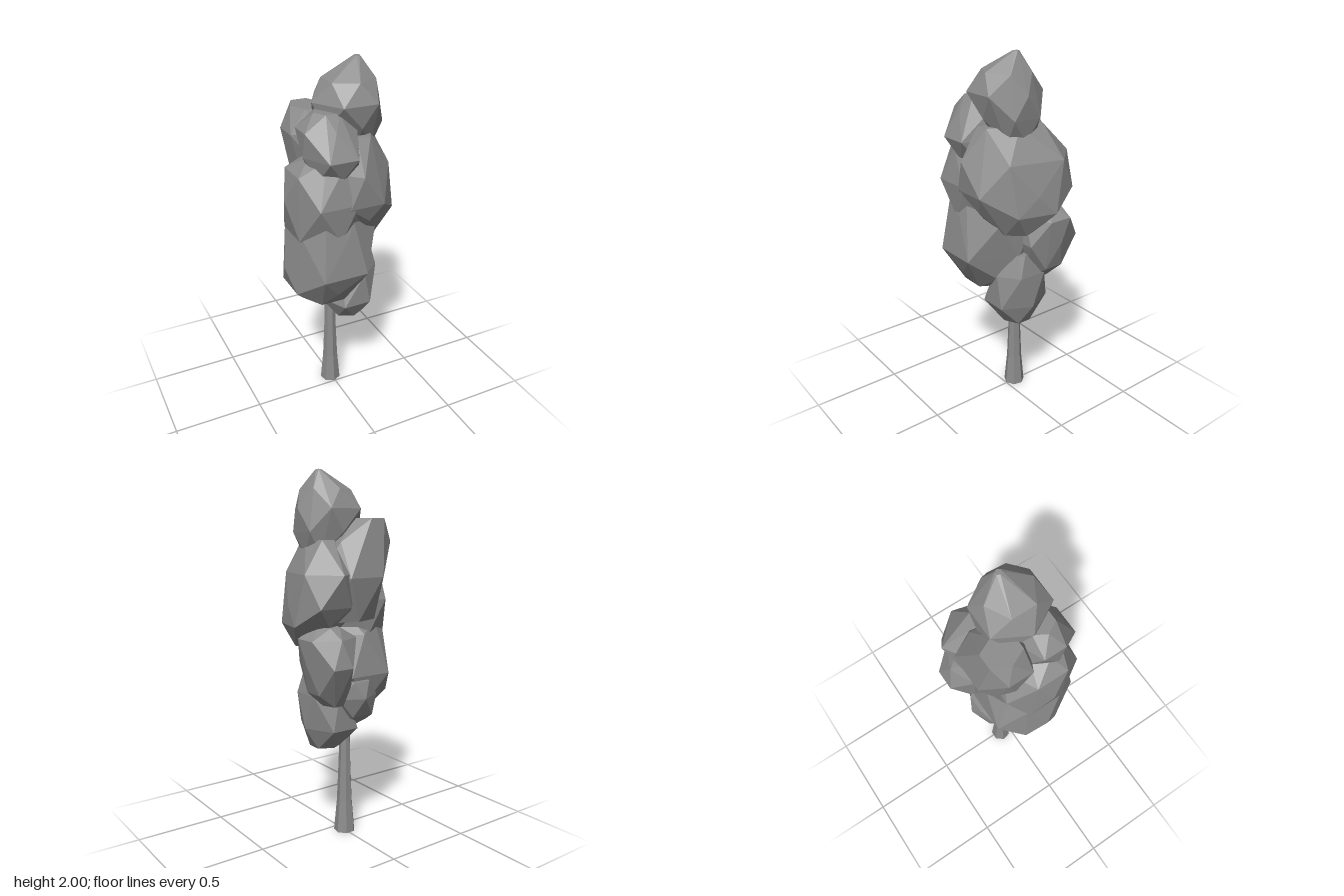
import * as THREE from 'three';
import { ConvexGeometry } from 'three/addons/geometries/ConvexGeometry.js';

const material = new THREE.MeshStandardMaterial({ color: 0x8c8c8c, flatShading: true });

// Six-sided ring of points filling a rectangle at height y; skew slides x along z
function ring([y, x0, x1, z0, z1], turn, skew) {
  const corners = [];
  for (let i = 0; i < 6; i++) {
    const a = (i * Math.PI) / 3 + turn;
    corners.push([Math.cos(a), Math.sin(a)]);
  }
  const wide = Math.max(...corners.map((c) => c[0]));
  const deep = Math.max(...corners.map((c) => c[1]));
  return corners.map(([c, s]) => {
    const dz = ((z1 - z0) / 2) * (s / deep);
    const dx = ((x1 - x0) / 2) * (c / wide) - skew * dz;
    return new THREE.Vector3((x0 + x1) / 2 + dx, y, (z0 + z1) / 2 + dz);
  });
}

// Faceted leaf clump: hull around staggered rings [y, xMin, xMax, zMin, zMax]
function clump(name, rings, skew = 0) {
  const points = rings.flatMap((r, i) => ring(r, (i % 2) * (Math.PI / 6), skew));
  const mesh = new THREE.Mesh(new ConvexGeometry(points), material);
  mesh.name = name;
  return mesh;
}

export function createModel() {
  const tree = new THREE.Group();
  tree.name = 'tree';

  // Slim trunk with a flared foot
  const profile = [[0, 0], [0.06, 0], [0.044, 0.18], [0.034, 0.42], [0.029, 0.65]];
  const trunk = new THREE.Mesh(
    new THREE.LatheGeometry(profile.map(([r, y]) => new THREE.Vector2(r, y)), 7),
    material
  );
  trunk.name = 'trunk';
  trunk.position.set(-0.005, 0, -0.062);
  tree.add(trunk);

  // Overlapping leaf clumps, from the bottom to the tip
  const foliage = new THREE.Group();
  foliage.name = 'foliage';
  foliage.add(
    clump('bottomClump', [
      [0.94, 0.13, 0.2, 0, 0.06],
      [0.82, 0, 0.22, -0.17, 0.15],
      [0.63, -0.09, 0.225, -0.17, 0.15],
      [0.51, 0, 0.16, -0.08, 0.08]
    ]),
    clump('lowerBackClump', [
      [0.9, -0.1, 0.1, -0.22, 0],
      [0.81, -0.13, 0.12, -0.25, 0.02],
      [0.7, -0.16, 0.1, -0.19, 0.05],
      [0.64, -0.14, 0.05, -0.12, 0.04]
    ]),
    clump('lowerLeftClump', [
      [1.22, -0.25, 0.06, -0.1, 0.25],
      [1.14, -0.27, 0.16, -0.17, 0.27],
      [0.92, -0.325, 0.17, -0.2, 0.295],
      [0.79, -0.29, 0.1, -0.17, 0.23],
      [0.71, -0.23, 0.04, -0.07, 0.17]
    ]),
    clump('lowerRightClump', [
      [1.2, 0.1, 0.22, -0.2, -0.06],
      [1.14, 0.02, 0.3, -0.26, 0],
      [1.0, 0.06, 0.295, -0.3, 0.02],
      [0.85, 0.05, 0.25, -0.24, -0.02],
      [0.78, 0.08, 0.19, -0.2, -0.06]
    ]),
    clump('middleLeftClump', [
      [1.55, -0.2, 0.02, 0.02, 0.2],
      [1.47, -0.28, 0.07, -0.1, 0.25],
      [1.32, -0.32, 0.1, -0.15, 0.28],
      [1.12, -0.28, 0.1, -0.15, 0.26]
    ]),
    clump('middleRightClump', [
      [1.64, 0.02, 0.17, -0.1, 0.2],
      [1.47, -0.09, 0.265, -0.28, 0.3],
      [1.3, -0.08, 0.3, -0.23, 0.28],
      [1.2, -0.04, 0.3, -0.18, 0.24],
      [1.08, 0.04, 0.24, -0.03, 0.14]
    ], 0.25),
    clump('upperBackClump', [
      [1.75, -0.2, -0.03, -0.2, -0.02],
      [1.63, -0.24, 0.09, -0.22, 0.05],
      [1.45, -0.22, 0.2, -0.25, 0.05],
      [1.22, -0.13, 0.16, -0.21, 0]
    ]),
    clump('upperFrontClump', [
      [1.77, -0.17, -0.02, 0.04, 0.17],
      [1.69, -0.24, 0.04, -0.02, 0.22],
      [1.56, -0.24, 0.07, -0.02, 0.28],
      [1.45, -0.18, 0.03, 0.03, 0.24]
    ]),
    clump('topClump', [
      [2.0, 0.09, 0.12, 0.01, 0.04],
      [1.9, -0.07, 0.17, -0.09, 0.17],
      [1.8, -0.15, 0.225, -0.13, 0.21],
      [1.68, -0.1, 0.21, -0.13, 0.19],
      [1.56, 0.02, 0.19, -0.06, 0.11]
    ])
  );
  tree.add(foliage);
  return tree;
}
